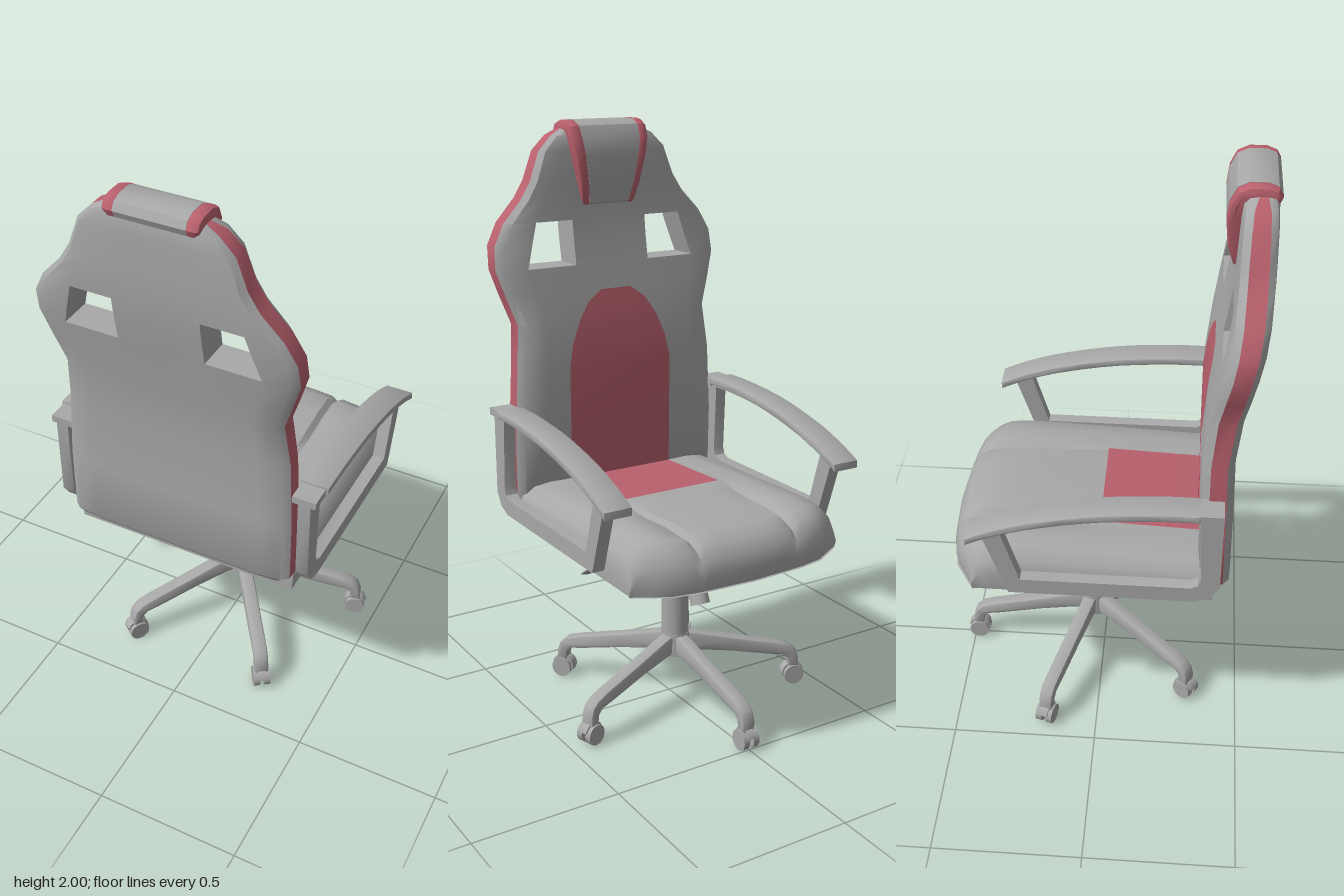
import * as THREE from 'three';
import { toCreasedNormals } from 'three/addons/utils/BufferGeometryUtils.js';

const grey = new THREE.MeshStandardMaterial({ color: 0xa8a8a8, side: THREE.DoubleSide });
grey.name = 'grey';
const red = new THREE.MeshStandardMaterial({ color: 0xb9616d, side: THREE.DoubleSide });
red.name = 'red';

const { lerp, clamp } = THREE.MathUtils;

function add(parent, name, geo, mat = grey, x = 0, y = 0, z = 0) {
  const m = new THREE.Mesh(geo, mat);
  m.name = name;
  m.position.set(x, y, z);
  parent.add(m);
  return m;
}

// Collects four-cornered faces and turns them into a smoothed geometry
function faces() {
  const pos = [];
  return {
    quad(a, b, c, d) { pos.push(...a, ...b, ...c, ...a, ...c, ...d); },
    build(crease = 0.75) {
      const g = new THREE.BufferGeometry();
      g.setAttribute('position', new THREE.Float32BufferAttribute(pos, 3));
      return toCreasedNormals(g, crease);
    },
  };
}

// Extrudes a side outline of (z, y) points from x0 across a width
function sidePlate(pts, x0, width, bevel = 0, hole = null) {
  const toV = (p) => p.map(([z, y]) => new THREE.Vector2(-z, y));
  const shape = new THREE.Shape(toV(pts));
  if (hole) shape.holes.push(new THREE.Path(toV(hole)));
  const g = new THREE.ExtrudeGeometry(shape, {
    depth: width - 2 * bevel, bevelEnabled: bevel > 0, bevelSize: bevel,
    bevelThickness: bevel, bevelOffset: -bevel, bevelSegments: 2,
  });
  g.translate(0, 0, bevel).rotateY(Math.PI / 2).translate(x0, 0, 0);
  return toCreasedNormals(g, 0.6);
}

// Backrest rows: height, half width, rear z, front z
const ROWS = [
  [0.665, 0.385, 0.43, 0.36], [0.69, 0.405, 0.445, 0.338], [0.92, 0.405, 0.443, 0.332],
  [1.16, 0.393, 0.438, 0.33], [1.32, 0.378, 0.457, 0.345], [1.42, 0.412, 0.475, 0.362],
  [1.51, 0.44, 0.49, 0.378], [1.59, 0.435, 0.505, 0.391], [1.665, 0.395, 0.515, 0.4],
  [1.74, 0.325, 0.52, 0.405], [1.8, 0.287, 0.521, 0.407], [1.9, 0.25, 0.52, 0.41],
  [1.95, 0.2, 0.518, 0.415], [1.985, 0.13, 0.505, 0.435],
];
const HOLE0 = 6, HOLE1 = 8;

function frontZ(y) {
  const i = Math.max(1, ROWS.findIndex((r) => r[0] >= y));
  const a = ROWS[i - 1], b = ROWS[i];
  return lerp(a[3], b[3], (y - a[0]) / (b[0] - a[0]));
}

function buildBackrest(root) {
  const shell = faces(), trim = faces();
  const grid = ROWS.map(([y, w, zb, zf]) => {
    const outer = Math.min(0.33 - clamp(y - 1.51, 0, 0.155) * 0.29, 0.75 * w);
    const half = [Math.min(0.145, 0.4 * w), outer, 0.94 * w, w];
    const inset = [0, 0, 0.006, 0.03];
    const xs = [...half.map((v) => -v).reverse(), 0, ...half];
    const ins = [...inset].reverse().concat(0, inset);
    return {
      front: xs.map((x, i) => [x, y, zf + ins[i]]),
      rear: xs.map((x, i) => [x, y, zb - ins[i] * 0.85]),
    };
  });
  const last = 8;
  for (let r = 0; r < grid.length - 1; r++) {
    const { front: f0, rear: b0 } = grid[r], { front: f1, rear: b1 } = grid[r + 1];
    const wall = (s, c, flip) => (flip ? s.quad(b1[c], f1[c], f0[c], b0[c]) : s.quad(b0[c], f0[c], f1[c], b1[c]));
    for (let c = 0; c < last; c++) {
      // Leave the two window openings free and line their sides
      if (r >= HOLE0 && r < HOLE1 && (c === 2 || c === 5)) {
        wall(shell, c, false);
        wall(shell, c + 1, true);
        if (r === HOLE0) shell.quad(b0[c], b0[c + 1], f0[c + 1], f0[c]);
        if (r === HOLE1 - 1) shell.quad(f1[c], f1[c + 1], b1[c + 1], b1[c]);
        continue;
      }
      shell.quad(b0[c], b0[c + 1], b1[c + 1], b1[c]);
      shell.quad(f1[c], f1[c + 1], f0[c + 1], f0[c]);
    }
    // Red band around the rim
    wall(trim, last, false);
    wall(trim, 0, true);
  }
  const bot = grid[0], top = grid[grid.length - 1];
  for (let c = 0; c < last; c++) {
    shell.quad(bot.front[c], bot.front[c + 1], bot.rear[c + 1], bot.rear[c]);
    trim.quad(top.rear[c], top.rear[c + 1], top.front[c + 1], top.front[c]);
  }
  add(root, 'backrestShell', shell.build(), grey);
  add(root, 'backrestTrim', trim.build(), red);

  // Arched red panel on the sitting side
  const panel = faces();
  const arch = [[0.7, 0.205], [0.92, 0.205], [1.16, 0.205], [1.24, 0.188], [1.32, 0.155], [1.38, 0.115], [1.42, 0.06]]
    .map(([y, w]) => [[-w, y, frontZ(y) - 0.004], [w, y, frontZ(y) - 0.004]]);
  for (let i = 0; i < arch.length - 1; i++) panel.quad(arch[i + 1][0], arch[i + 1][1], arch[i][1], arch[i][0]);
  add(root, 'backrestPanel', panel.build(), red);

  // Head pillow folded over the top, narrower at its lower end
  const profile = [[0.515, 1.935], [0.528, 1.965], [0.515, 1.988], [0.485, 2], [0.43, 2], [0.395, 1.983], [0.374, 1.94],
    [0.367, 1.88], [0.376, 1.79], [0.395, 1.72], [0.42, 1.7], [0.46, 1.93]];
  const pillow = (name, x0, w, bevel, mat) => {
    const g = sidePlate(profile, x0, w, bevel);
    const p = g.attributes.position;
    for (let i = 0; i < p.count; i++) {
      p.setX(i, p.getX(i) * lerp(0.65, 1, clamp((p.getY(i) - 1.7) / 0.25, 0, 1)));
    }
    add(root, name, toCreasedNormals(g, 0.6), mat);
  };
  pillow('headPillow', -0.115, 0.23, 0, grey);
  pillow('headPillowSideLeft', 0.1, 0.055, 0.018, red);
  pillow('headPillowSideRight', -0.155, 0.055, 0.018, red);
}

function buildSeat(root) {
  // Stations from rear to front: z, top height
  const stations = [[0.39, 0.745], [0.33, 0.75], [0.15, 0.758], [0, 0.765], [-0.1, 0.769], [-0.2, 0.773],
    [-0.32, 0.776], [-0.42, 0.77], [-0.47, 0.748], [-0.5, 0.71], [-0.515, 0.66], [-0.505, 0.61]];
  const reach = (x) => (x < 0.19 ? lerp(0.515, 0.505, x / 0.19)
    : x < 0.28 ? lerp(0.505, 0.492, (x - 0.19) / 0.09) : lerp(0.492, 0.42, clamp((x - 0.28) / 0.12, 0, 1)));
  const rows = stations.map(([z, top]) => {
    const g = lerp(0.205, 0.185, clamp(-z / 0.4, 0, 1)), d = clamp(-z / 0.2, 0, 1) * 0.14;
    const half = [[0.1, 1], [g - 0.018, 1 - d * 0.15], [g, 1 - d], [g + 0.025, 1 - d * 0.1],
      [0.29, 1.01], [0.35, 0.95], [0.39, 0.75], [0.405, 0.45], [0.4, 0]];
    const cols = [...half.map(([x, h]) => [-x, h]).reverse(), [0, 1], ...half];
    return cols.map(([x, h]) => {
      const k = (reach(Math.abs(x)) - 0.2) / 0.315;
      return [x, 0.61 + h * (top - 0.61), z < -0.2 ? -0.2 + (z + 0.2) * k : z];
    });
  });
  const flat = ([x, , z]) => [clamp(x, -0.4, 0.4), 0.61, z];
  const cushion = faces(), patch = faces(), n = rows[0].length - 1, mid = n / 2;
  for (let r = 0; r < rows.length - 1; r++) {
    const a = rows[r], b = rows[r + 1];
    for (let c = 0; c < n; c++) {
      const inRed = r < 3 && c >= mid - 3 && c < mid + 3;
      (inRed ? patch : cushion).quad(a[c], a[c + 1], b[c + 1], b[c]);
      cushion.quad(flat(b[c]), flat(b[c + 1]), flat(a[c + 1]), flat(a[c]));
      if (r === 0) cushion.quad(flat(a[c]), flat(a[c + 1]), a[c + 1], a[c]);
    }
  }
  add(root, 'seatCushion', cushion.build(), grey);
  add(root, 'seatPatch', patch.build(), red);
}

function buildArm(root, s) {
  const arm = new THREE.Group();
  arm.name = s > 0 ? 'leftArmrest' : 'rightArmrest';
  root.add(arm);
  const curve = new THREE.SplineCurve([[0.335, 1.043], [0.2, 1.042], [0, 1.025], [-0.2, 0.985], [-0.33, 0.943], [-0.415, 0.905]]
    .map((p) => new THREE.Vector2(...p))).getPoints(16).map((v) => [v.x, v.y]);
  const drop = (d, from, to) => curve.filter(([z]) => z <= from && z >= to).map(([z, y]) => [z, y - d]);
  const from = (x0, w) => (s > 0 ? x0 : -x0 - w);
  // Closed loop with post, lower bar and slanted strut
  const outer = [...drop(0.012, 0.4, -0.385), [-0.285, 0.66], [0.33, 0.66], [0.38, 0.68], [0.41, 0.725], [0.41, 1.02]];
  const inner = [...drop(0.042, 0.335, -0.31), [-0.245, 0.718], [0.315, 0.718], [0.338, 0.73], [0.347, 0.755]];
  add(arm, 'armFrame', sidePlate(outer, from(0.42, 0.043), 0.043, 0, inner));
  const pad = [...curve, ...drop(0.026, 1, -1).reverse()];
  add(arm, 'armPad', sidePlate(pad, from(0.39, 0.1), 0.1, 0.005));
  add(arm, 'armRearBracket', new THREE.BoxGeometry(0.09, 0.025, 0.08), grey, s * 0.435, 1.025, 0.37);
}

function buildBase(root) {
  const base = new THREE.Group();
  base.name = 'base';
  base.position.z = -0.04;
  root.add(base);
  const cyl = (r0, r1, h) => new THREE.CylinderGeometry(r0, r1, h, 24);
  add(base, 'hub', cyl(0.05, 0.055, 0.08), grey, 0, 0.212);
  add(base, 'columnSleeve', cyl(0.048, 0.048, 0.19), grey, 0, 0.335);
  add(base, 'gasLift', cyl(0.028, 0.028, 0.15), grey, 0, 0.495);
  const legSide = [[0.01, 0.253], [0.06, 0.245], [0.22, 0.205], [0.38, 0.167], [0.425, 0.153], [0.45, 0.13], [0.46, 0.1],
    [0.46, 0.065], [0.425, 0.065], [0.42, 0.1], [0.405, 0.115], [0.36, 0.122], [0.2, 0.155], [0.07, 0.175], [0.01, 0.175]]
    .map(([r, y]) => [-r, y]);
  const legGeo = sidePlate(legSide, -0.025, 0.05, 0.01);
  const wheelGeo = cyl(0.036, 0.036, 0.022).rotateZ(Math.PI / 2);
  const hoodGeo = new THREE.CylinderGeometry(0.041, 0.041, 0.03, 16, 1, false, -0.3, Math.PI).rotateZ(Math.PI / 2);
  for (let i = 0; i < 5; i++) {
    const leg = new THREE.Group();
    leg.name = 'legAssembly';
    leg.rotation.y = (i * 2 * Math.PI) / 5;
    base.add(leg);
    add(leg, 'leg', legGeo);
    for (const s of [1, -1]) add(leg, 'casterWheel', wheelGeo, grey, s * 0.019, 0.036, -0.442);
    add(leg, 'casterHood', hoodGeo, grey, 0, 0.038, -0.442);
  }
}

function buildMechanism(root) {
  const mech = new THREE.Group();
  mech.name = 'tiltMechanism';
  root.add(mech);
  add(mech, 'mountPlate', new THREE.BoxGeometry(0.42, 0.022, 0.38), grey, 0, 0.6, -0.04);
  add(mech, 'mechanismBox', new THREE.BoxGeometry(0.16, 0.032, 0.32), grey, 0, 0.574, -0.04);
  add(mech, 'leverRod', new THREE.CylinderGeometry(0.007, 0.007, 0.22, 10).rotateZ(Math.PI / 2), grey, 0.18, 0.573, -0.03);
  const paddle = new THREE.CylinderGeometry(0.008, 0.03, 0.135, 16).scale(1, 1, 0.25).rotateX(-0.94);
  add(mech, 'leverPaddle', paddle, grey, 0.28, 0.533, 0.025);
  add(mech, 'tensionStem', new THREE.CylinderGeometry(0.022, 0.022, 0.08, 16).rotateX(0.4), grey, 0, 0.53, -0.15);
  add(mech, 'tensionKnob', new THREE.CylinderGeometry(0.03, 0.034, 0.1, 20).rotateX(0.4), grey, 0, 0.46, -0.182);
}

export function createModel() {
  const root = new THREE.Group();
  root.name = 'officeChair';
  buildBackrest(root);
  buildSeat(root);
  for (const s of [1, -1]) buildArm(root, s);
  buildBase(root);
  buildMechanism(root);
  return root;
}
